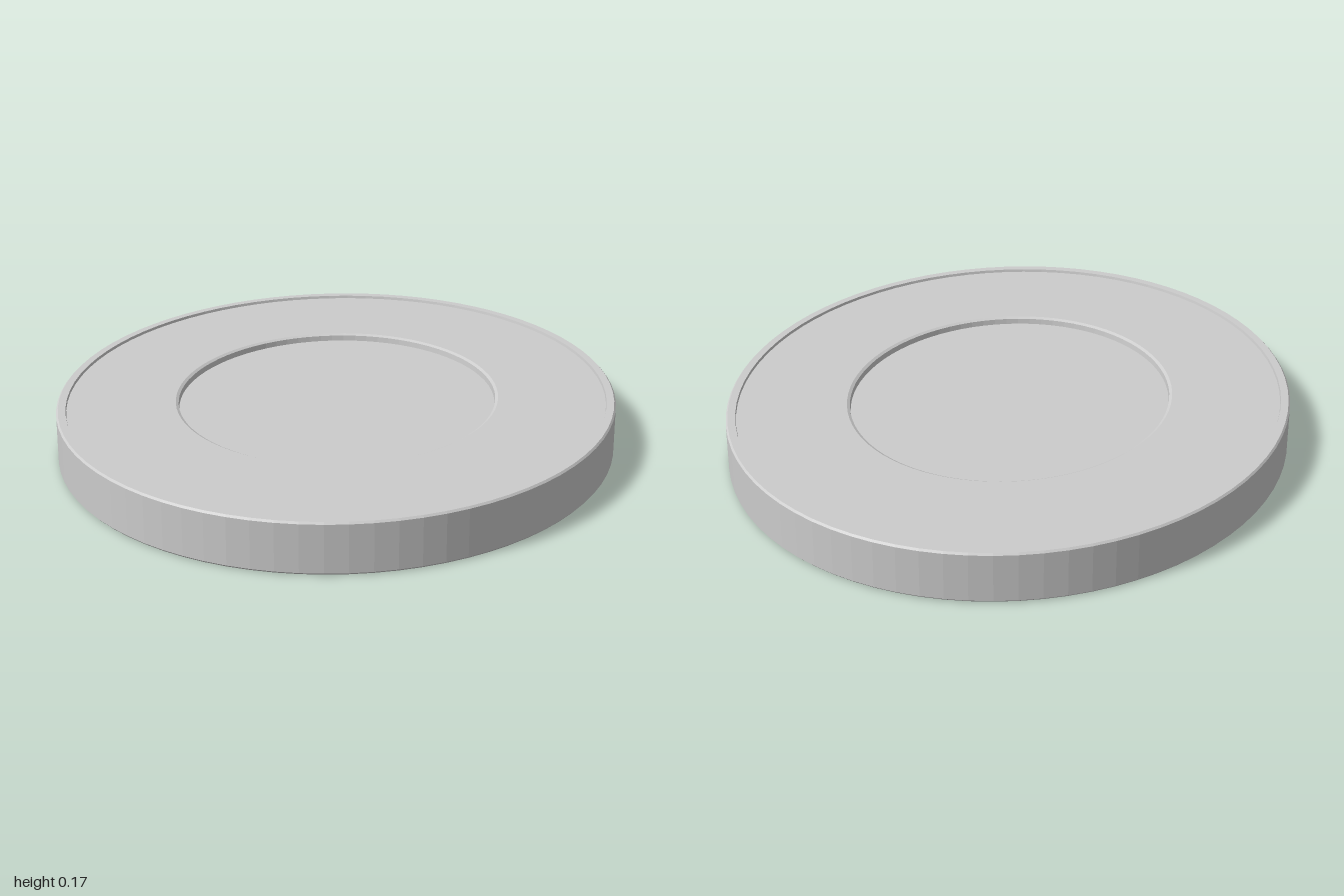
import * as THREE from 'three';

const HEIGHT = 0.165, HALF = HEIGHT / 2, WIDTH_RATIO = 0.905;
const SEGMENTS = 80;

export function createModel() {
  const group = new THREE.Group();
  group.name = 'ovalDisc';
  const material = new THREE.MeshStandardMaterial({ color: 0xcccccc, flatShading: true });

  // Upper half of the section, from the rim to the axis: [radius, drop below the top].
  const section = [
    [1, 0.006], [0.994, 0],        // softened outer edge
    [0.967, 0], [0.965, 0.009],    // thin raised rim, step to the flat ring
    [0.58, 0.009], [0.57, 0.014],  // eased lip of the central recess
    [0.568, 0.032],                // recess wall
    [0.3, 0.034], [0, 0.035],      // barely dished floor
  ];

  // Mirror the section so both faces match, then run it from bottom axis to top axis.
  const top = section.map(([r, d]) => new THREE.Vector2(r, HEIGHT - d));
  const bottom = section.map(([r, d]) => new THREE.Vector2(r, d)).reverse();
  const geometry = new THREE.LatheGeometry([...bottom, ...top], SEGMENTS);

  // Squeeze the round disc into an oval, longer along z.
  geometry.scale(WIDTH_RATIO, 1, 1);
  geometry.computeVertexNormals();

  const disc = new THREE.Mesh(geometry, material);
  disc.name = 'recessedDisc';
  group.add(disc);
  return group;
}
